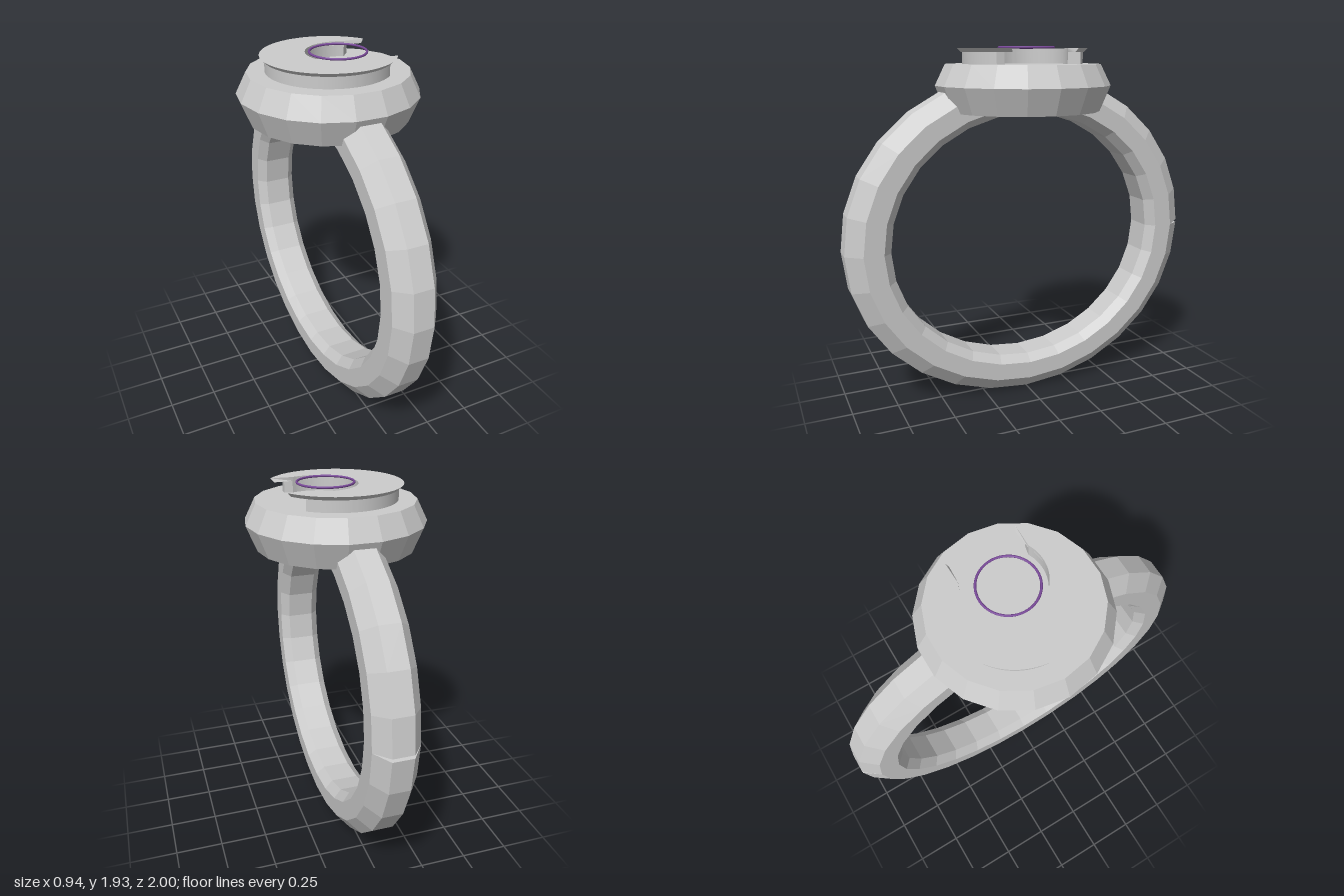
import * as THREE from 'three';
import { toCreasedNormals } from 'three/addons/utils/BufferGeometryUtils.js';

const flat = new THREE.MeshStandardMaterial({ color: 0xcccccc, flatShading: true, side: THREE.DoubleSide });
const smooth = new THREE.MeshStandardMaterial({ color: 0xcccccc, side: THREE.DoubleSide });
const purple = new THREE.MeshStandardMaterial({ color: 0x7a4a9a });

function add(group, name, geometry, material) {
  const mesh = new THREE.Mesh(geometry, material);
  mesh.name = name;
  group.add(mesh);
  return mesh;
}

// Faceted band: a bevelled section [x, radius] swept round an oval, split by a small notch at the back
function bandGeometry() {
  const section = [
    [-0.12, 0.915], [-0.055, 1], [0.055, 1], [0.12, 0.915],
    [0.12, 0.81], [0.075, 0.765], [-0.075, 0.765], [-0.12, 0.81],
  ];
  const segments = 28, n = section.length, notch = 0.01;
  const positions = [], indices = [];
  for (let i = 0; i <= segments; i++) {
    for (const [x, r] of section) {
      let t = Math.PI + (i / segments) * Math.PI * 2;
      if (r === 1 && i === 0) t += notch;
      if (r === 1 && i === segments) t -= notch;
      positions.push(x, 0.903 + r * 0.9 * Math.sin(t), r * Math.cos(t));
    }
  }
  for (let i = 0; i < segments; i++) {
    for (let j = 0; j < n; j++) {
      const a = i * n + j, b = i * n + (j + 1) % n;
      indices.push(a, b, b + n, a, b + n, a + n);
    }
  }
  // Notch walls
  const e = segments * n;
  indices.push(0, 2, 1, 0, 3, 2, e, e + 1, e + 2, e, e + 2, e + 3);
  const g = new THREE.BufferGeometry();
  g.setAttribute('position', new THREE.Float32BufferAttribute(positions, 3));
  g.setIndex(indices);
  g.computeVertexNormals();
  return g;
}

// Crescent open towards +x: outer arc round the centre, inner arc round the small hoop
function crescent(radius, tipX, tipZ, height, y) {
  const tip = Math.atan2(tipZ, tipX), inner = 1.12;
  const outerEnd = Math.atan2(Math.sqrt(radius * radius - tipX * tipX), tipX);
  const shape = new THREE.Shape();
  shape.moveTo(tipX, tipZ);
  shape.absarc(0, 0, radius, Math.max(tip, outerEnd), Math.PI * 2 - Math.max(tip, outerEnd), false);
  shape.lineTo(tipX, -tipZ);
  shape.absarc(0.09, 0, 0.2, -inner, inner, true);
  shape.closePath();
  const g = new THREE.ExtrudeGeometry(shape, { depth: height, bevelEnabled: false, curveSegments: 48 });
  g.rotateX(-Math.PI / 2).translate(0, y, 0);
  return g;
}

export function createModel() {
  const group = new THREE.Group();

  add(group, 'band', bandGeometry(), flat);

  // Eighteen-sided head, widest at its girdle
  const profile = [[0, 1.6], [0.415, 1.6], [0.47, 1.735], [0.415, 1.845], [0, 1.845]]
    .map(([r, y]) => new THREE.Vector2(r, y));
  add(group, 'head', new THREE.LatheGeometry(profile, 18, Math.PI / 2), flat);

  // Crescent wall standing on the head
  add(group, 'crescentWall', toCreasedNormals(crescent(0.32, 0.22, 0.19, 0.065, 1.843), 0.5), smooth);

  // Overhanging crescent plate, its underside drawn in at the rim
  const plate = crescent(0.345, 0.295, 0.183, 0.02, 1.905);
  const p = plate.attributes.position;
  for (let i = 0; i < p.count; i++) {
    const x = p.getX(i), z = p.getZ(i);
    if (p.getY(i) < 1.91 && Math.hypot(x, z) > 0.3) p.setXYZ(i, x * 0.94, p.getY(i), z * 0.94);
  }
  add(group, 'crescentPlate', toCreasedNormals(plate, 0.5), smooth);

  // Thin coloured hoop set inside the crescent
  const hoop = add(group, 'hoop', new THREE.TorusGeometry(0.145, 0.006, 8, 48), purple);
  hoop.rotation.x = Math.PI / 2;
  hoop.position.set(0.053, 1.929, 0);

  return group;
}
